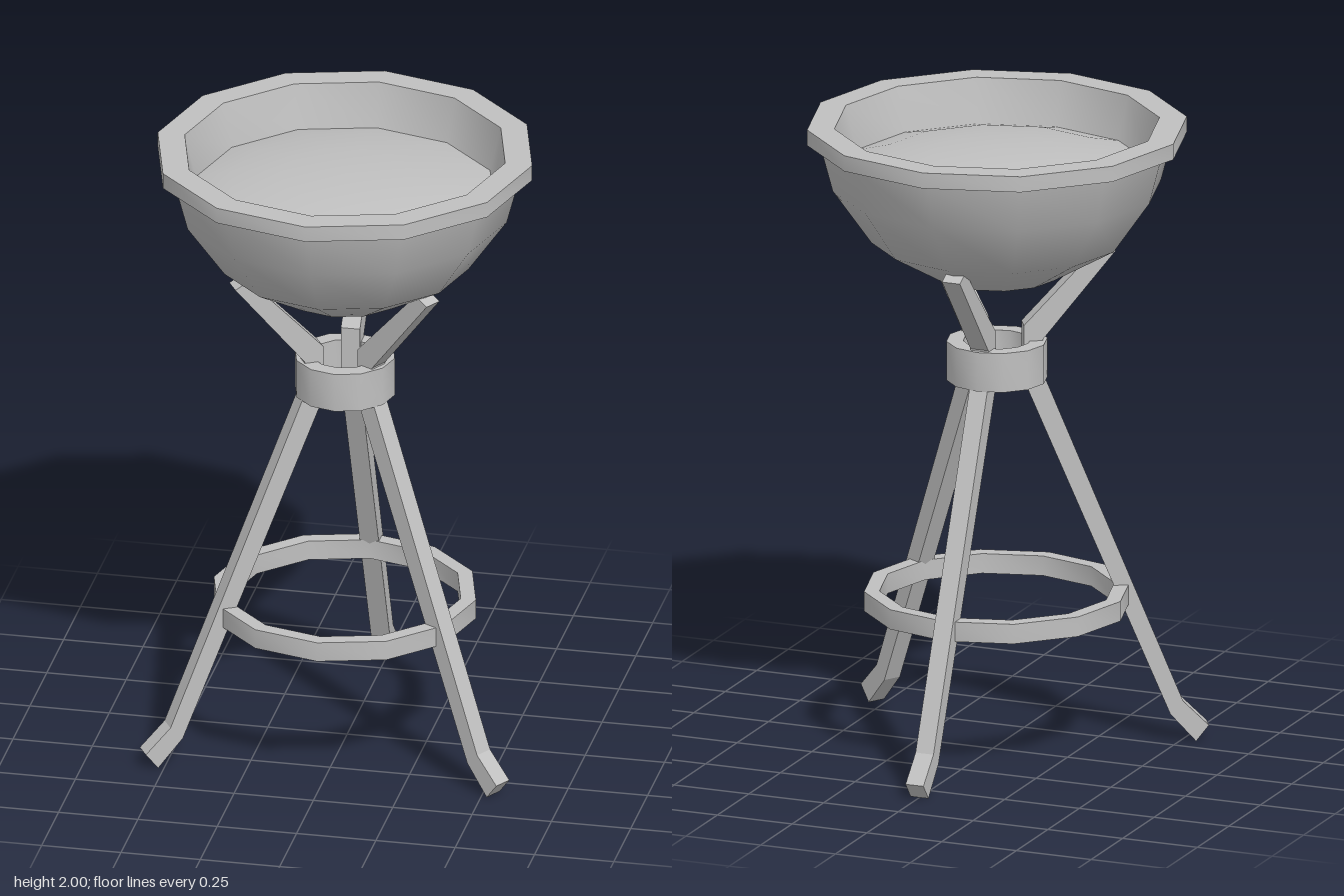
import * as THREE from 'three';
import { toCreasedNormals } from 'three/addons/utils/BufferGeometryUtils.js';

const SIDES = 12;
const CREASE = 0.62;

export function createModel() {
  const model = new THREE.Group();
  model.name = 'brazier';

  const iron = new THREE.MeshStandardMaterial({ color: 0xc0c0c0 });
  iron.name = 'plain grey';

  // Everything is built around one vertical axis, slightly forward of centre
  const body = new THREE.Group();
  body.name = 'body';
  body.position.z = 0.033;
  model.add(body);

  const add = (name, geometry) => {
    const mesh = new THREE.Mesh(geometry, iron);
    mesh.name = name;
    body.add(mesh);
    return mesh;
  };

  // Twelve-sided turned part from [radius, height] points
  const turned = (name, points) => {
    const profile = points.map(([r, y]) => new THREE.Vector2(r, y));
    return add(name, toCreasedNormals(new THREE.LatheGeometry(profile, SIDES), CREASE));
  };

  // Square-section hoop
  const hoop = (name, inner, outer, bottom, top) => turned(name, [
    [inner, bottom], [outer, bottom], [outer, top], [inner, top], [inner, bottom],
  ]);

  // Bowl, its rim with the inner wall, and the low mound inside
  turned('bowl', [[0, 1.5], [0.19, 1.515], [0.39, 1.63], [0.51, 1.8], [0.55, 1.95]]);
  turned('rim', [[0.53, 1.95], [0.59, 1.95], [0.59, 2], [0.505, 2], [0.47, 1.86]]);
  turned('mound', [[0.472, 1.86], [0.36, 1.89], [0.2, 1.91], [0, 1.92]]);

  // Collar that clamps the legs, and the lower bracing hoop
  hoop('collar', 0.105, 0.157, 1.18, 1.305);
  hoop('braceRing', 0.365, 0.413, 0.447, 0.51);

  // Bent leg: foot, slanted shank, upright in the collar, arm under the bowl
  const outline = [
    [0.615, 0], [0.655, 0.05], [0.575, 0.13], [0.14, 1.2], [0.14, 1.31],
    [0.365, 1.585], [0.32, 1.61], [0.08, 1.355], [0.08, 1.18], [0.535, 0.09],
  ].map(([r, y]) => new THREE.Vector2(r, y));
  const legGeometry = new THREE.ExtrudeGeometry(new THREE.Shape(outline), {
    depth: 0.06, bevelEnabled: false,
  });
  legGeometry.translate(0, 0, -0.03);

  const legs = { backLeg: 90, rightLeg: 210, leftLeg: -30 };
  for (const [name, degrees] of Object.entries(legs)) {
    add(name, legGeometry).rotation.y = THREE.MathUtils.degToRad(degrees);
  }

  return model;
}
